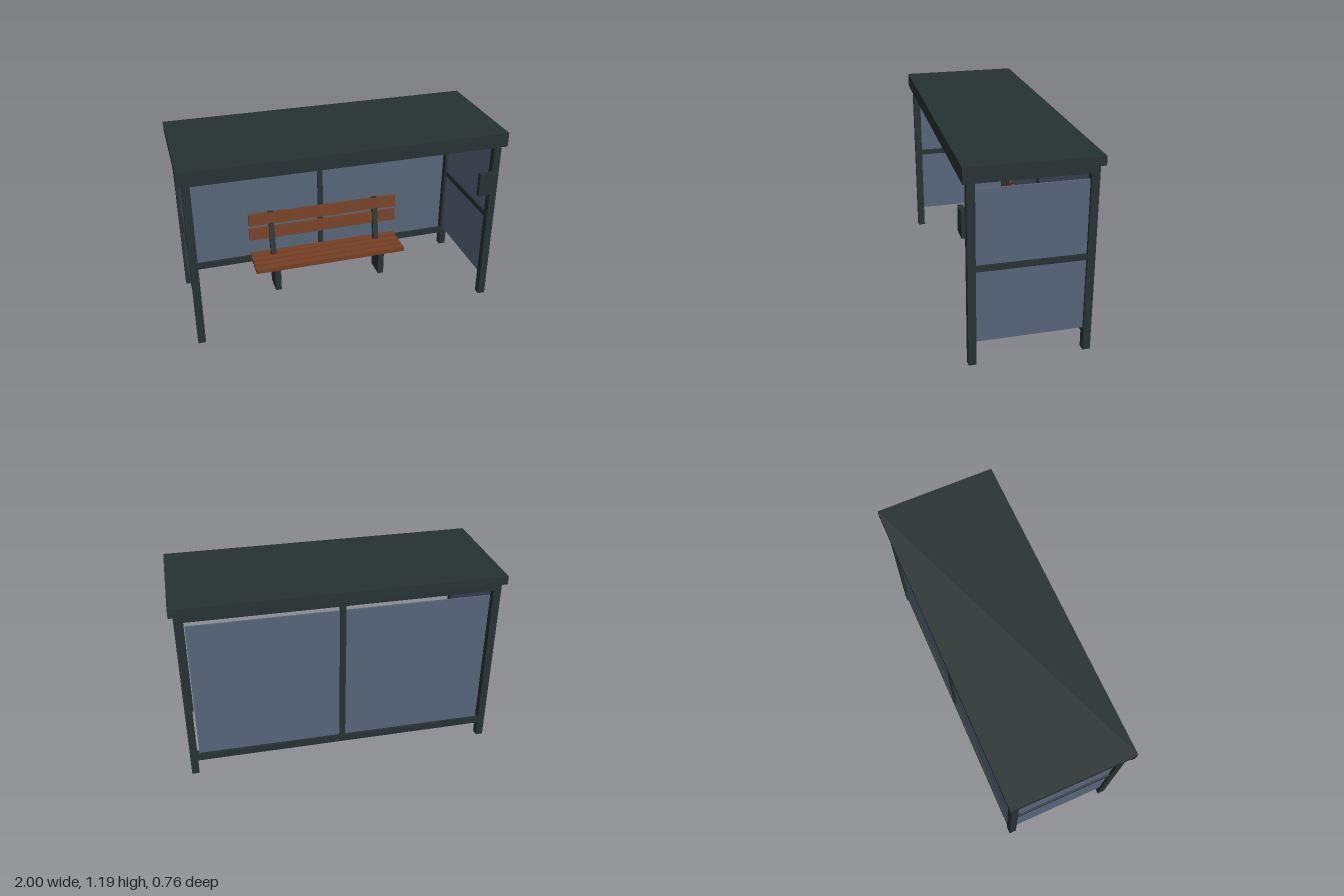
import * as THREE from 'three';

export function createModel() {
  const model = new THREE.Group();
  model.name = 'busShelter';
  const mat = (name, color) => {
    const m = new THREE.MeshStandardMaterial({ color });
    m.name = name;
    return m;
  };
  const metal = mat('dark metal', 0x263232);
  const glass = mat('tinted glass', 0x566579);
  const wood = mat('brown wood', 0x743f25);
  const glow = mat('warm lamp', 0xe6cf92);

  // Box given by its min and max on each axis
  const box = (name, m, [x0, x1], [y0, y1], [z0, z1], parent = model) => {
    const mesh = new THREE.Mesh(new THREE.BoxGeometry(x1 - x0, y1 - y0, z1 - z0), m);
    mesh.position.set((x0 + x1) / 2, (y0 + y1) / 2, (z0 + z1) / 2);
    mesh.name = name;
    parent.add(mesh);
    return mesh;
  };

  // Roof slab with a deeper front fascia
  box('roof', metal, [-1, 1], [1.137, 1.19], [-0.38, 0.38]);
  box('frontFascia', metal, [-1, 1], [1.1, 1.19], [0.355, 0.382]);

  // Corner posts, top beams and side walls
  for (const s of [-1, 1]) {
    const span = (a, b) => (s > 0 ? [a, b] : [-b, -a]);
    for (const t of [-1, 1]) {
      const zPost = t > 0 ? [0.312, 0.358] : [-0.358, -0.312];
      box('cornerPost', metal, span(0.928, 0.974), [0, 1.137], zPost);
    }
    box('sideTopBeam', metal, span(0.928, 0.974), [1.09, 1.137], [-0.312, 0.312]);
    box('sideRail', metal, span(0.934, 0.968), [0.58, 0.615], [-0.312, 0.312]);
    box('sideGlass', glass, span(0.946, 0.956), [0.14, 1.052], [-0.312, 0.312]);
  }
  for (const z of [-0.335, 0.335])
    box('longTopBeam', metal, [-0.928, 0.928], [1.09, 1.137], [z - 0.023, z + 0.023]);

  // Back wall
  box('backGlass', glass, [-0.915, 0.915], [0.14, 1.052], [-0.34, -0.33]);
  box('backBottomRail', metal, [-0.928, 0.928], [0.1, 0.145], [-0.357, -0.313]);
  box('backMullion', metal, [-0.018, 0.018], [0.145, 1.09], [-0.353, -0.317]);

  // Ceiling lamp
  box('lampHousing', metal, [-0.33, 0.33], [1.086, 1.137], [-0.088, 0.11]);
  box('lampDiffuser', glow, [-0.29, 0.29], [1.075, 1.086], [-0.065, 0.085]);

  // Small panel beside the front left post
  box('infoBox', metal, [0.84, 0.942], [0.775, 0.925], [0.35, 0.38]);

  // Bench
  const bench = new THREE.Group();
  bench.name = 'bench';
  model.add(bench);
  for (const x of [-0.37, 0.37]) {
    box('benchLeg', metal, [x - 0.02, x + 0.02], [0, 0.185], [-0.203, -0.062], bench);
    const upright = box('backrestUpright', metal, [x - 0.018, x + 0.018], [0.19, 0.52], [-0.238, -0.208], bench);
    upright.rotation.x = -0.19;
  }
  for (const z of [-0.19, -0.075])
    box('seatRail', metal, [-0.49, 0.49], [0.16, 0.185], [z - 0.015, z + 0.015], bench);
  for (let i = 0; i < 4; i++) {
    const z = -0.045 - i * 0.06;
    box('seatSlat', wood, [-0.523, 0.523], [0.185, 0.215], [z - 0.025, z + 0.025], bench);
  }
  for (const y of [0.365, 0.475]) {
    const slat = box('backrestSlat', wood, [-0.523, 0.523], [y - 0.04, y + 0.04], [-0.253, -0.228], bench);
    slat.rotation.x = -0.1;
  }
  return model;
}
